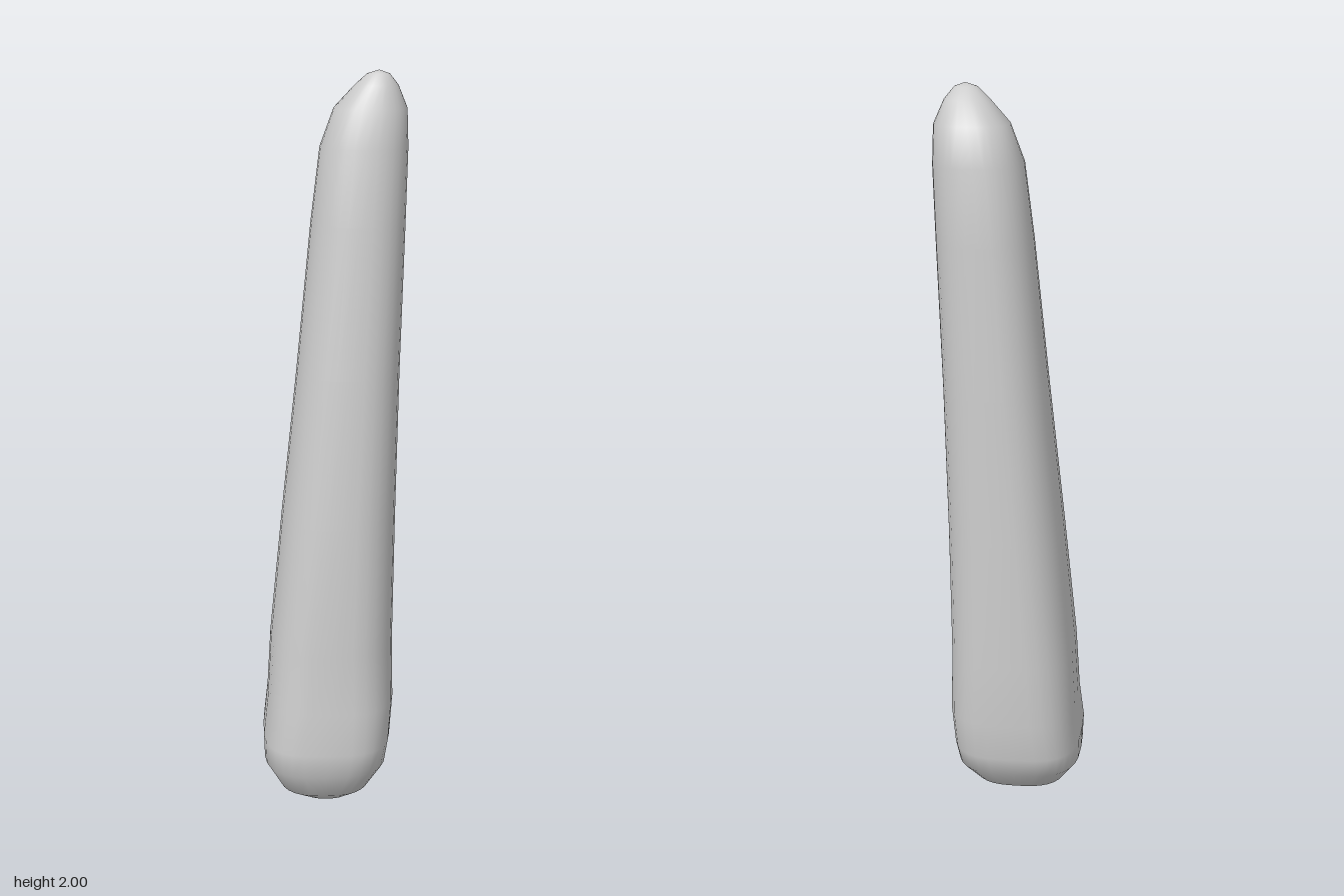
import * as THREE from 'three';

// Cross-sections from base to tip: [y, xMin, xMax, zMin, zMax, squareness]
const SECTIONS = [
  [0.0, -0.1, 0.05, -0.08, 0.15, 2.6],
  [0.03, -0.16, 0.1, -0.16, 0.195, 2.8],
  [0.1, -0.2, 0.145, -0.215, 0.228, 3.1],
  [0.17, -0.202, 0.155, -0.232, 0.24, 3.3],
  [0.28, -0.19, 0.165, -0.238, 0.222, 3.1],
  [0.45, -0.18, 0.163, -0.238, 0.216, 2.9],
  [0.8, -0.145, 0.17, -0.225, 0.188, 2.6],
  [1.2, -0.102, 0.18, -0.21, 0.146, 2.5],
  [1.6, -0.062, 0.194, -0.195, 0.1, 2.4],
  [1.8, -0.037, 0.2, -0.184, 0.076, 2.4],
  [1.9, 0.0, 0.197, -0.155, 0.046, 2.4],
  [1.96, 0.055, 0.172, -0.1, 0.022, 2.3],
  [1.99, 0.088, 0.148, -0.055, 0.0, 2.2],
];
const SIDES = 32;

// Rounded-square ring; the underside rises gently towards the back
function ringPoints([y, x0, x1, z0, z1, n]) {
  const round = (v) => Math.sign(v) * Math.abs(v) ** (2 / n);
  const fade = Math.max(0, 1 - y / 0.2);
  return Array.from({ length: SIDES }, (_, j) => {
    const a = (j / SIDES) * Math.PI * 2;
    const x = (x0 + x1) / 2 + ((x1 - x0) / 2) * round(Math.cos(a));
    const z = (z0 + z1) / 2 + ((z1 - z0) / 2) * round(Math.sin(a));
    return [x, y + fade * 0.12 * Math.max(0, 0.13 - z), z];
  });
}

function loftStone() {
  const points = SECTIONS.flatMap(ringPoints);
  const base = points.push([-0.025, 0.008, 0.05]) - 1;
  const tip = points.push([0.12, 2, -0.025]) - 1;
  const index = [];
  const last = (SECTIONS.length - 1) * SIDES;
  for (let j = 0; j < SIDES; j++) {
    const k = (j + 1) % SIDES;
    for (let r = 0; r < last; r += SIDES) {
      const a = r + j, b = r + k, c = a + SIDES, d = b + SIDES;
      index.push(a, c, b, b, c, d);
    }
    index.push(base, j, k, tip, last + k, last + j);
  }
  const geometry = new THREE.BufferGeometry();
  geometry.setAttribute('position', new THREE.Float32BufferAttribute(points.flat(), 3));
  geometry.setIndex(index);
  geometry.computeVertexNormals();
  return geometry;
}

export function createModel() {
  const group = new THREE.Group();
  group.name = 'standingStone';
  // Leaning, tapering stone shaft
  const stone = new THREE.Mesh(loftStone(), new THREE.MeshStandardMaterial({ color: 0xcccccc }));
  stone.name = 'stone';
  group.add(stone);
  return group;
}
